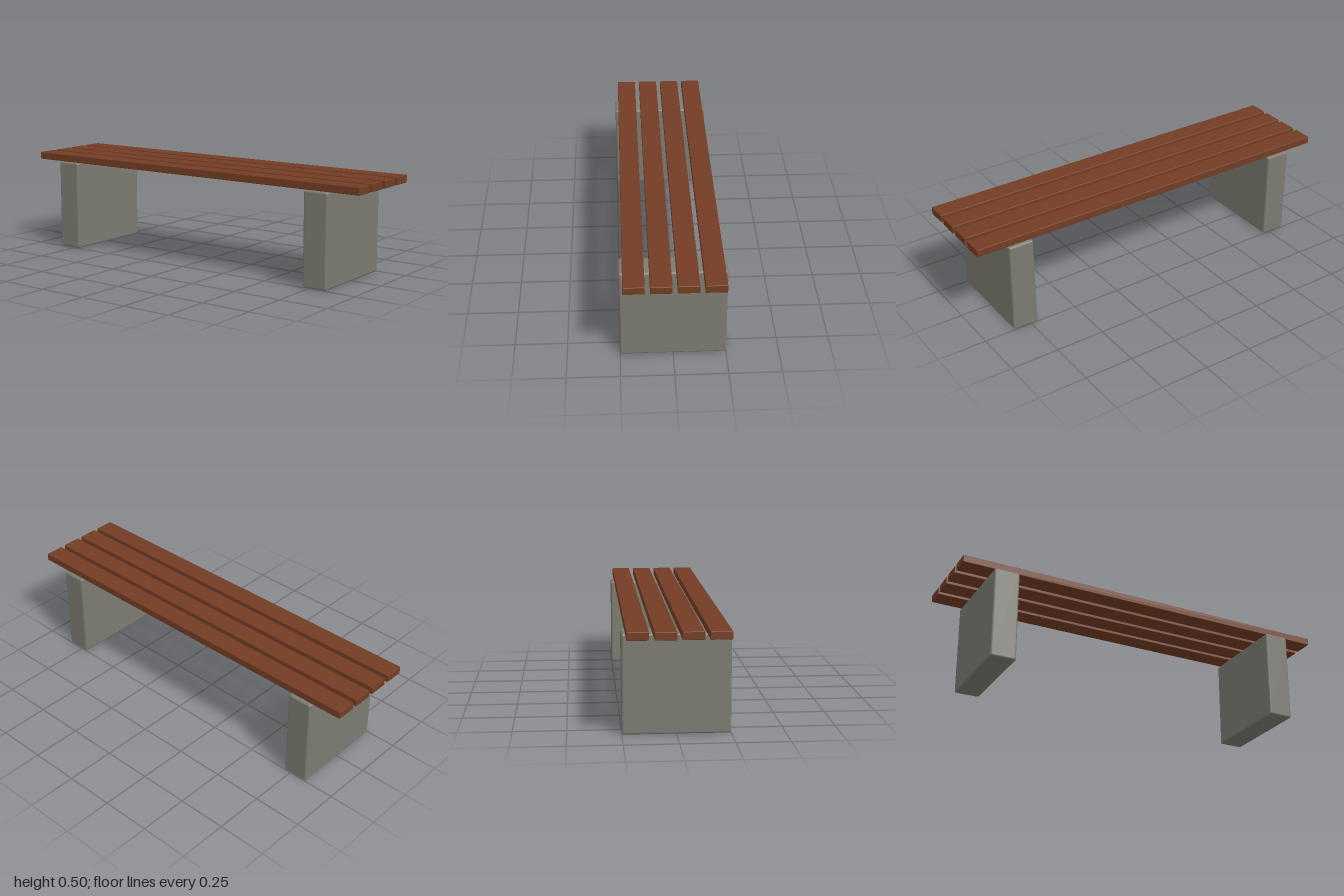
import * as THREE from 'three';
import { RoundedBoxGeometry } from 'three/addons/geometries/RoundedBoxGeometry.js';

const wood = new THREE.MeshStandardMaterial({ name: 'brown wood', color: 0x733c24 });
const concrete = new THREE.MeshStandardMaterial({ name: 'grey concrete', color: 0x7b7b71 });

function roundedBlock(name, size, radius, material, position) {
  const mesh = new THREE.Mesh(new RoundedBoxGeometry(...size, 2, radius), material);
  mesh.name = name;
  mesh.position.set(...position);
  return mesh;
}

export function createModel() {
  const bench = new THREE.Group();
  bench.name = 'bench';

  // Two solid block legs
  const legHeight = 0.467;
  for (const side of [-1, 1]) {
    bench.add(roundedBlock(side > 0 ? 'leftLeg' : 'rightLeg',
      [0.13, legHeight, 0.5], 0.01, concrete, [side * 0.778, legHeight / 2, 0]));
  }

  // Four seat slats running the full length
  const slatHeight = 0.038;
  const spacing = 0.1225;
  for (let i = 0; i < 4; i++) {
    bench.add(roundedBlock(`seatSlat${i + 1}`,
      [2, slatHeight, 0.099], 0.003, wood,
      [0, legHeight + slatHeight / 2, (i - 1.5) * spacing]));
  }
  return bench;
}
